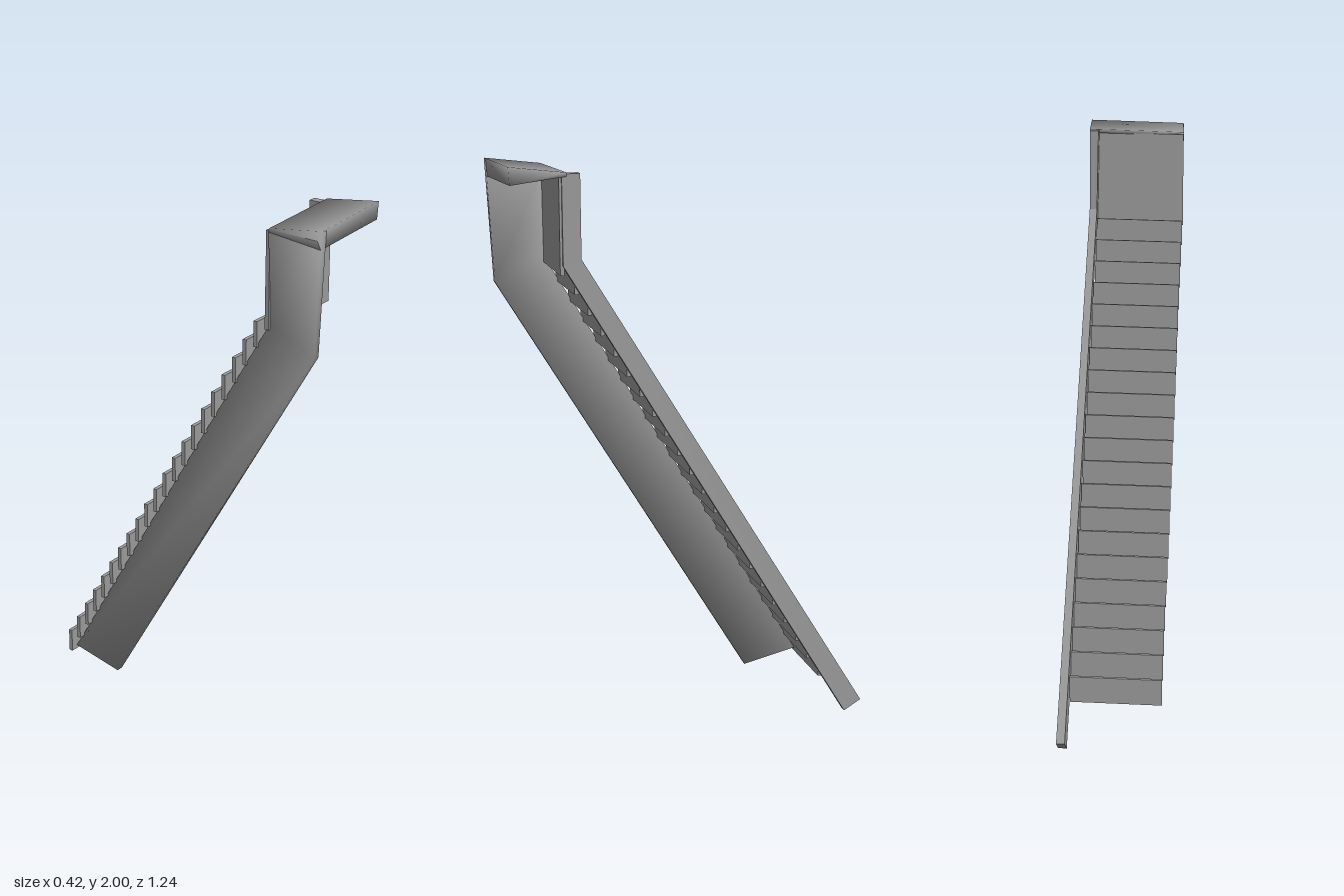
import * as THREE from 'three';

const material = new THREE.MeshStandardMaterial({ color: 0x9a9a9a });

// Vertex normals as the plain average of the neighbouring faces, whatever their size
function softNormals(points, quads) {
  const normals = points.map(() => new THREE.Vector3());
  for (const quad of quads) {
    const [a, b, c, d] = quad.map((i) => new THREE.Vector3(...points[i]));
    const n = c.sub(a).cross(d.sub(b)).normalize();
    quad.forEach((i) => normals[i].add(n));
  }
  return normals.flatMap((n) => n.normalize().toArray());
}

// Closed solid lofted through four-cornered sections; smooth shares normals over the edges
function loft(name, sections, smooth) {
  const points = sections.flat();
  const e = points.length - 4;
  const quads = [[0, 3, 2, 1], [e, e + 1, e + 2, e + 3]];
  for (let a = 0; a < e; a += 4) {
    for (let i = 0; i < 4; i++) {
      const j = (i + 1) % 4;
      quads.push([a + i, a + j, a + 4 + j, a + 4 + i]);
    }
  }
  let geometry = new THREE.BufferGeometry();
  geometry.setAttribute('position', new THREE.Float32BufferAttribute(points.flat(), 3));
  geometry.setIndex(quads.flatMap(([a, b, c, d]) => [a, b, c, a, c, d]));
  if (smooth) {
    geometry.setAttribute('normal', new THREE.Float32BufferAttribute(softNormals(points, quads), 3));
  } else {
    geometry = geometry.toNonIndexed();
    geometry.computeVertexNormals();
  }
  const mesh = new THREE.Mesh(geometry, material);
  mesh.name = name;
  return mesh;
}

// Section of an upright board running from its back edge to its front edge
function boardSection([ax, ay, az], [bx, by, bz], t) {
  return [[ax + t, ay, az], [ax - t, ay, az], [bx - t, by, bz], [bx + t, by, bz]];
}

// Thin upright plate across the flight, turned by dz and slightly tilted
function plate(name, xl, xr, y, z, height, dz) {
  const depth = 0.014, dy = 0.008;
  const section = (x, oy, oz) => [
    [x, y + oy + height, z + oz - depth / 2], [x, y + oy + height, z + oz + depth / 2],
    [x, y + oy, z + oz + depth / 2], [x, y + oy, z + oz - depth / 2],
  ];
  return loft(name, [section(xl, 0, -dz / 2), section(xr, dy, dz / 2)], false);
}

export function createModel() {
  const group = new THREE.Group();

  // Risers, each overlapping the next one up
  const steps = new THREE.Group();
  steps.name = 'steps';
  const count = 21;
  for (let k = 0; k < count; k++) {
    const z = -0.48 + 0.0431 * k;
    const xl = -0.172 - 0.0756 * z;
    steps.add(plate('riser', xl, xl + 0.306, 0.125 + 0.0718 * k, z, 0.087, 0.009));
  }
  group.add(steps);

  // Tall plate closing the top of the flight
  group.add(plate('topPanel', -0.205, 0.122, 1.63, 0.43, 0.325, 0.015));

  // Narrow stringer with an upright post at the top
  group.add(loft('stringer', [
    boardSection([0.195, 0.038, -0.62], [0.191, 0, -0.56], 0.014),
    boardSection([0.119, 1.69, 0.375], [0.117, 1.67, 0.436], 0.013),
    boardSection([0.115, 1.97, 0.375], [0.113, 1.97, 0.436], 0.015),
  ], false));

  // Wide side panel on the other side
  group.add(loft('sidePanel', [
    boardSection([-0.1, 0.14, -0.475], [-0.1, 0.098, -0.28], 0.012),
    boardSection([-0.185, 1.65, 0.43], [-0.189, 1.57, 0.6], 0.012),
    boardSection([-0.195, 1.96, 0.425], [-0.196, 1.985, 0.62], 0.012),
  ], true));

  // Wedge-shaped cap
  const capSection = (x, dy, dz) => [
    [x, 1.975 + dy, 0.42 + dz], [x, 2 + dy, 0.612 + dz],
    [x, 1.94 + dy, 0.608 + dz], [x, 1.962 + dy, 0.42 + dz],
  ];
  group.add(loft('cap', [capSection(-0.207, -0.012, 0.008), capSection(0.132, 0, 0)], true));

  return group;
}
